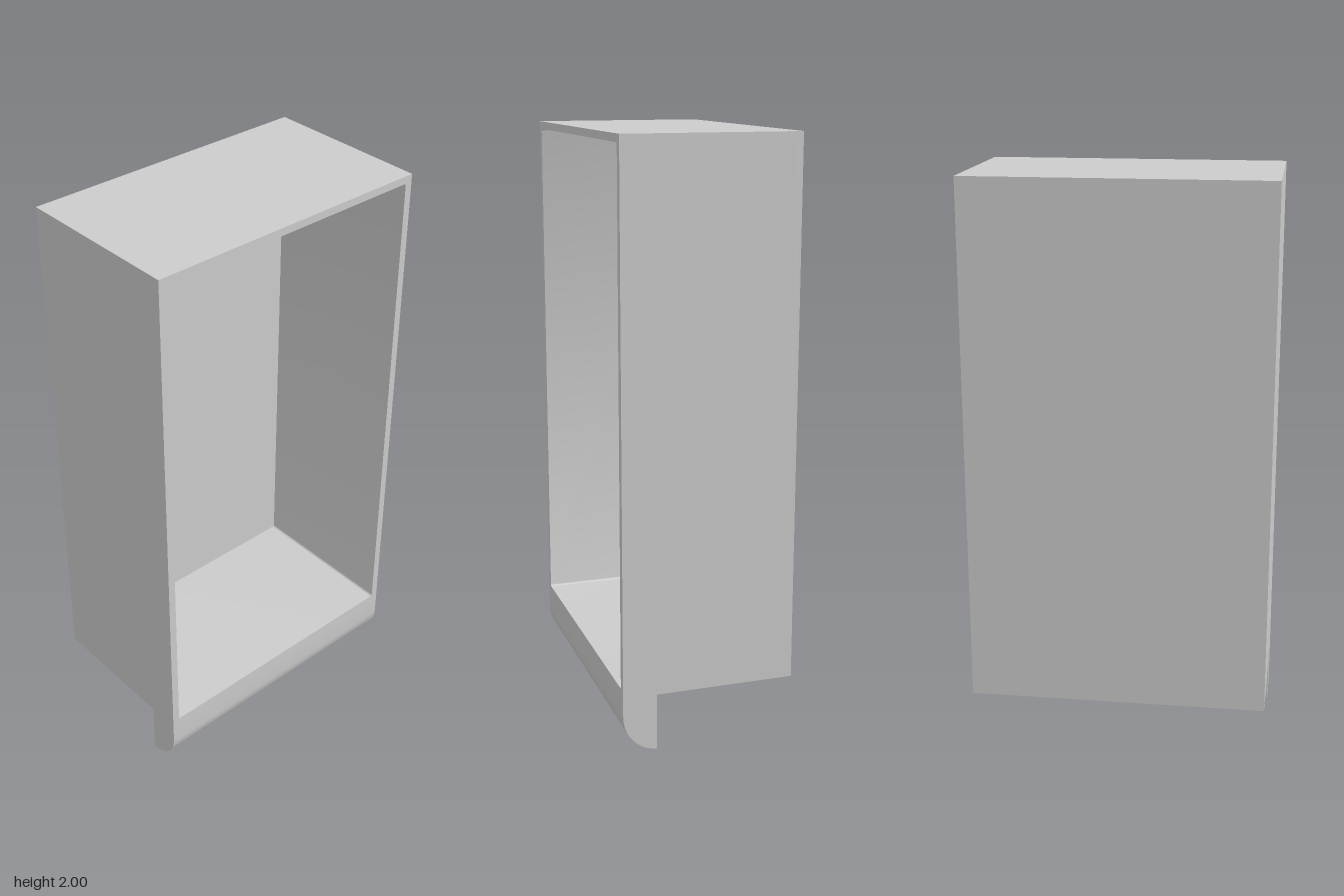
import * as THREE from 'three';
import { toCreasedNormals } from 'three/addons/utils/BufferGeometryUtils.js';

const W = 1.026, H = 2, D = 0.59; // overall size
const T = 0.026;                  // panel thickness
const FLOOR = 0.195;              // underside of the cabinet
const LIP_Z = 0.18;               // back edge of the hanging lip
const R = 0.13;                   // radius of the lip's front curve

const material = new THREE.MeshStandardMaterial({ color: 0xcccccc });

function addMesh(group, name, geometry) {
  const mesh = new THREE.Mesh(geometry, material);
  mesh.name = name;
  group.add(mesh);
  return mesh;
}

// Rectangle path with small rounded corners
function roundedRect(path, x0, y0, x1, y1, r) {
  path.moveTo(x0 + r, y0);
  path.lineTo(x1 - r, y0);
  path.absarc(x1 - r, y0 + r, r, -Math.PI / 2, 0);
  path.lineTo(x1, y1 - r);
  path.absarc(x1 - r, y1 - r, r, 0, Math.PI / 2);
  path.lineTo(x0 + r, y1);
  path.absarc(x0 + r, y1 - r, r, Math.PI / 2, Math.PI);
  path.lineTo(x0, y0 + r);
  path.absarc(x0 + r, y0 + r, r, Math.PI, Math.PI * 1.5);
  return path;
}

// Points of the lip's curve in (z, y), from the front face down to the back edge
function lipCurve(radius) {
  const cz = D / 2 - R, cy = R, n = 20;
  const end = -Math.acos((LIP_Z - cz) / radius);
  return Array.from({ length: n + 1 }, (_, i) => {
    const a = (end * i) / n;
    return new THREE.Vector2(cz + radius * Math.cos(a), cy + radius * Math.sin(a));
  });
}

// Extrude a (z, y) profile along x, centred on x = 0
function extrudeAlongX(points, length) {
  const geo = new THREE.ExtrudeGeometry(new THREE.Shape(points), { depth: length, bevelEnabled: false });
  geo.translate(0, 0, -length / 2).rotateY(-Math.PI / 2);
  return toCreasedNormals(geo, 0.5);
}

export function createModel() {
  const model = new THREE.Group();
  model.name = 'cabinet';

  // Four walls around the open front
  const outline = new THREE.Shape();
  outline.moveTo(-W / 2, FLOOR);
  outline.lineTo(W / 2, FLOOR);
  outline.lineTo(W / 2, H);
  outline.lineTo(-W / 2, H);
  outline.closePath();
  outline.holes.push(roundedRect(new THREE.Path(), -W / 2 + T, FLOOR + T, W / 2 - T, H - T, 0.008));
  const walls = new THREE.ExtrudeGeometry(outline, { depth: D - T, bevelEnabled: false, curveSegments: 5 });
  walls.translate(0, 0, -D / 2 + T);
  addMesh(model, 'cabinetWalls', toCreasedNormals(walls, 0.5));

  // Back panel
  addMesh(model, 'backPanel', new THREE.BoxGeometry(W, H - FLOOR, T))
    .position.set(0, (H + FLOOR) / 2, -D / 2 + T / 2);

  // Hollow curved lip hanging below the front
  const lip = new THREE.Group();
  lip.name = 'frontLip';
  model.add(lip);
  const outer = lipCurve(R), inner = lipCurve(R - T);
  const shell = [
    new THREE.Vector2(D / 2 - T, FLOOR), new THREE.Vector2(D / 2, FLOOR),
    ...outer, ...inner.reverse(),
  ];
  addMesh(lip, 'lipShell', extrudeAlongX(shell, W - 2 * T));

  // Solid ends of the lip
  const end = [new THREE.Vector2(LIP_Z, FLOOR), new THREE.Vector2(D / 2, FLOOR), ...outer];
  for (const side of [1, -1]) {
    addMesh(lip, side > 0 ? 'leftLipEnd' : 'rightLipEnd', extrudeAlongX(end, T))
      .position.x = side * (W - T) / 2;
  }
  return model;
}
